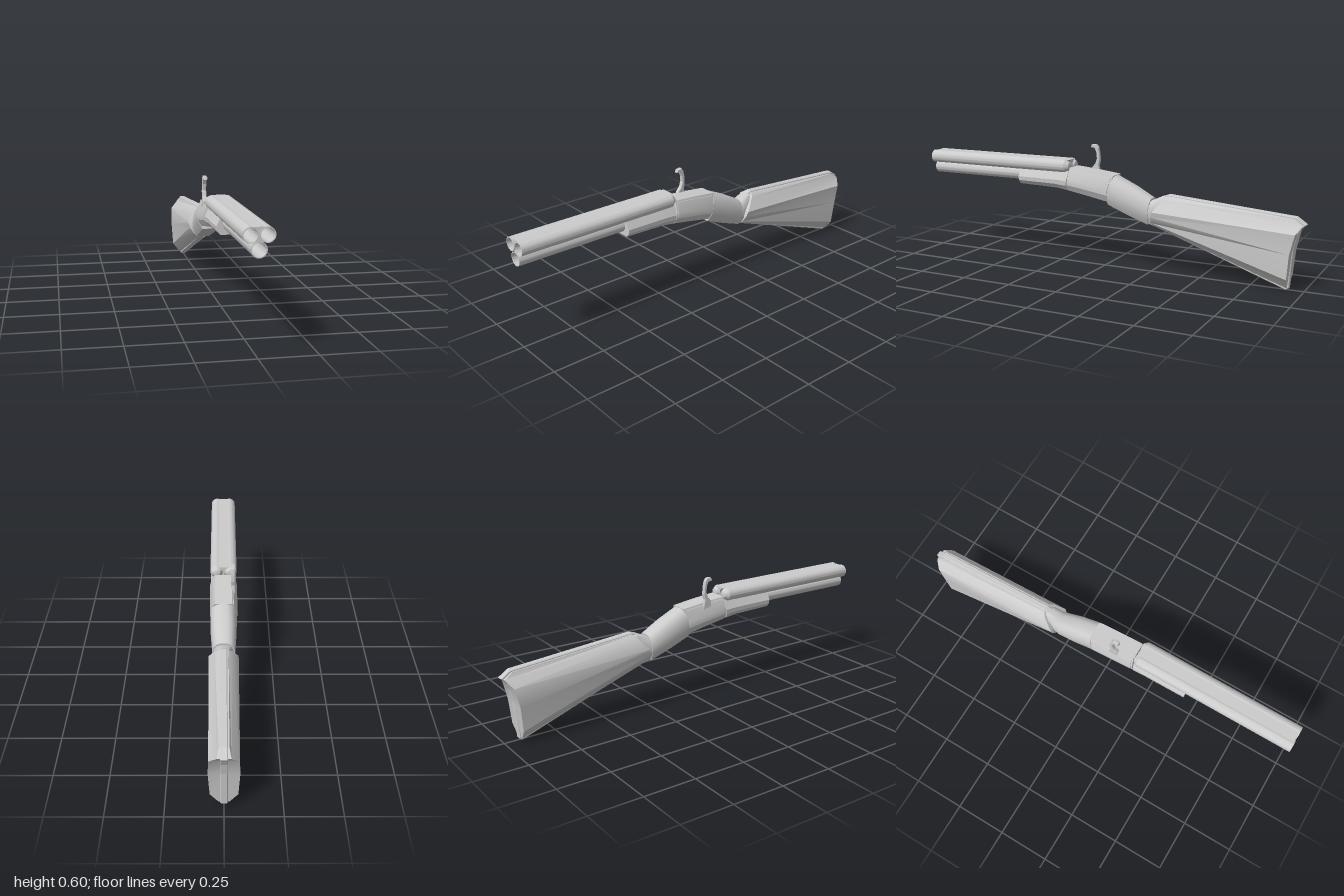
import * as THREE from 'three';
import { toCreasedNormals } from 'three/addons/utils/BufferGeometryUtils.js';

const material = new THREE.MeshStandardMaterial({ color: 0xcccccc });
const openMaterial = new THREE.MeshStandardMaterial({ color: 0xcccccc, side: THREE.DoubleSide });

function add(group, name, geometry, mat = material) {
  const mesh = new THREE.Mesh(geometry, mat);
  mesh.name = name;
  group.add(mesh);
  return mesh;
}

// Skin over rings given as right halves [x, y, z], top to bottom, ordered front to back
function loft(halves, crease = 0.4) {
  const n = halves[0].length;
  const rings = halves.map(h => [...h, ...h.map(([x, y, z]) => [-x, y, z]).reverse()]);
  const pos = [];
  const quad = (a, b, c, d) => pos.push(...a, ...b, ...d, ...b, ...c, ...d);
  for (let i = 0; i < rings.length - 1; i++) {
    for (let j = 0; j < 2 * n; j++) {
      const k = (j + 1) % (2 * n);
      quad(rings[i][j], rings[i][k], rings[i + 1][k], rings[i + 1][j]);
    }
  }
  const first = rings[0], last = rings[rings.length - 1];
  for (let j = 0; j < n - 1; j++) {
    const l = 2 * n - 1 - j;
    quad(first[j], first[l], first[l - 1], first[j + 1]);
    quad(last[j], last[j + 1], last[l - 1], last[l]);
  }
  const g = new THREE.BufferGeometry();
  g.setAttribute('position', new THREE.Float32BufferAttribute(pos, 3));
  g.computeVertexNormals();
  return toCreasedNormals(g, crease);
}

// Half section from a profile of [width fraction, height fraction]; tilt leans it along z
const section = (profile, z, top, bottom, w, tilt = 0) => profile.map(([u, v]) =>
  [u * w, bottom + v * (top - bottom), z + tilt * (v - 0.5) * (top - bottom)]);

// Flat side profile of [z, y] points, extruded across x
function slab(points, x, width, bevel = 0) {
  const shape = new THREE.Shape(points.map(([z, y]) => new THREE.Vector2(-z, y)));
  const g = new THREE.ExtrudeGeometry(shape, {
    depth: width - 2 * bevel, bevelEnabled: bevel > 0,
    bevelSize: bevel, bevelThickness: bevel, bevelOffset: -bevel, bevelSegments: 1
  });
  g.translate(0, 0, -width / 2 + bevel);
  g.rotateY(Math.PI / 2);
  g.translate(x, 0, 0);
  return g;
}

function addBarrel(group, name, x, y, r, back) {
  const bore = r - 0.004;
  const profile = [[0, back - 0.025], [r * 0.55, back - 0.02], [r, back], [r, 1], [bore, 1], [bore, 0.25], [0, 0.25]];
  const g = new THREE.LatheGeometry(profile.map(p => new THREE.Vector2(...p)), 32);
  g.rotateX(Math.PI / 2);
  g.translate(x, y, 0);
  add(group, name, toCreasedNormals(g, 0.5), openMaterial);
}

export function createModel() {
  const model = new THREE.Group();
  model.name = 'tripleBarrelGun';

  // Barrels
  const barrels = new THREE.Group();
  barrels.name = 'barrels';
  model.add(barrels);
  addBarrel(barrels, 'rightBarrel', -0.034, 0.493, 0.032, 0.2);
  addBarrel(barrels, 'leftBarrel', 0.034, 0.493, 0.032, 0.2);
  addBarrel(barrels, 'lowerBarrel', 0, 0.435, 0.033, 0.2);

  // Filler between the barrels, with a flat rib on top
  const web = new THREE.Shape();
  web.moveTo(-0.034, 0.524);
  web.absarc(-0.034, 0.493, 0.031, Math.PI / 2, -Math.PI / 3, true);
  web.lineTo(0, 0.462);
  web.absarc(0.034, 0.493, 0.031, Math.PI * 4 / 3, Math.PI / 2, true);
  web.closePath();
  const webGeometry = new THREE.ExtrudeGeometry(web, { depth: 0.81, bevelEnabled: false, curveSegments: 12 });
  webGeometry.translate(0, 0, 0.185);
  add(barrels, 'barrelRib', webGeometry);

  // Forend and receiver
  const angular = [[0.68, 1], [1, 0.5], [0.97, 0.25], [0.7, 0]];
  add(model, 'forend', loft([
    section(angular, 0.46, 0.465, 0.388, 0.063),
    section(angular, 0.25, 0.468, 0.383, 0.064),
    section(angular, 0.185, 0.47, 0.375, 0.065, -0.1)
  ]));
  add(model, 'receiver', loft([
    section(angular, 0.18, 0.488, 0.374, 0.064, -0.1),
    section(angular, 0.07, 0.478, 0.356, 0.064, -0.15),
    section(angular, -0.05, 0.464, 0.334, 0.062, -0.2)
  ]));
  const plate = [[0.62, 0.93], [0.76, 0.92], [1.04, 0.5], [1.04, 0.34], [0.5, 0.34]];
  add(model, 'sidePlates', loft([
    section(plate, 0.172, 0.488, 0.374, 0.065, -0.1),
    section(plate, 0.07, 0.478, 0.356, 0.065, -0.15),
    section(plate, -0.042, 0.464, 0.334, 0.064, -0.2)
  ]));

  // Hammer on the right side
  const hammer = new THREE.Group();
  hammer.name = 'hammer';
  model.add(hammer);
  add(hammer, 'hammerArm', slab([
    [0.045, 0.44], [0.09, 0.44], [0.095, 0.48], [0.075, 0.505], [0.066, 0.53], [0.069, 0.56], [0.078, 0.58],
    [0.1, 0.584], [0.094, 0.598], [0.07, 0.601], [0.058, 0.585], [0.052, 0.555], [0.05, 0.52], [0.056, 0.495]
  ], -0.046, 0.02, 0.003));

  // Grip wrist and the narrower neck running into the stock
  const rounded = [[0.3, 1], [0.62, 0.95], [0.88, 0.8], [1, 0.55], [0.95, 0.28], [0.6, 0]];
  add(model, 'wrist', loft([
    section(rounded, -0.045, 0.463, 0.321, 0.064, -0.2),
    section(rounded, -0.15, 0.416, 0.279, 0.062, -0.2),
    section(rounded, -0.25, 0.366, 0.24, 0.054, -0.1)
  ], 0.6));
  add(model, 'neck', loft([
    section(rounded, -0.2, 0.345, 0.27, 0.05),
    section(rounded, -0.26, 0.358, 0.24, 0.05),
    section(rounded, -0.31, 0.382, 0.228, 0.044),
    section(rounded, -0.36, 0.38, 0.21, 0.04)
  ], 0.6));

  // Stock: thin core plate with wide faceted cheeks around it
  add(model, 'stockCore', slab([
    [-0.25, 0.238], [-0.92, 0.002], [-0.932, 0.012], [-0.938, 0.1], [-0.945, 0.19], [-0.958, 0.25], [-0.975, 0.285],
    [-1, 0.312], [-0.955, 0.343], [-0.34, 0.392], [-0.31, 0.38], [-0.26, 0.355]
  ], 0, 0.032, 0.004));
  add(model, 'stockCheeks', loft([
    [[0.022, 0.385, -0.34], [0.042, 0.37, -0.325], [0.07, 0.31, -0.277],
      [0.064, 0.285, -0.268], [0.042, 0.252, -0.264], [0.023, 0.238, -0.262]],
    [[0.022, 0.335, -0.948], [0.03, 0.308, -0.988], [0.064, 0.272, -0.962],
      [0.067, 0.18, -0.94], [0.06, 0.062, -0.93], [0.023, 0.014, -0.924]]
  ], 0.5));

  return model;
}
